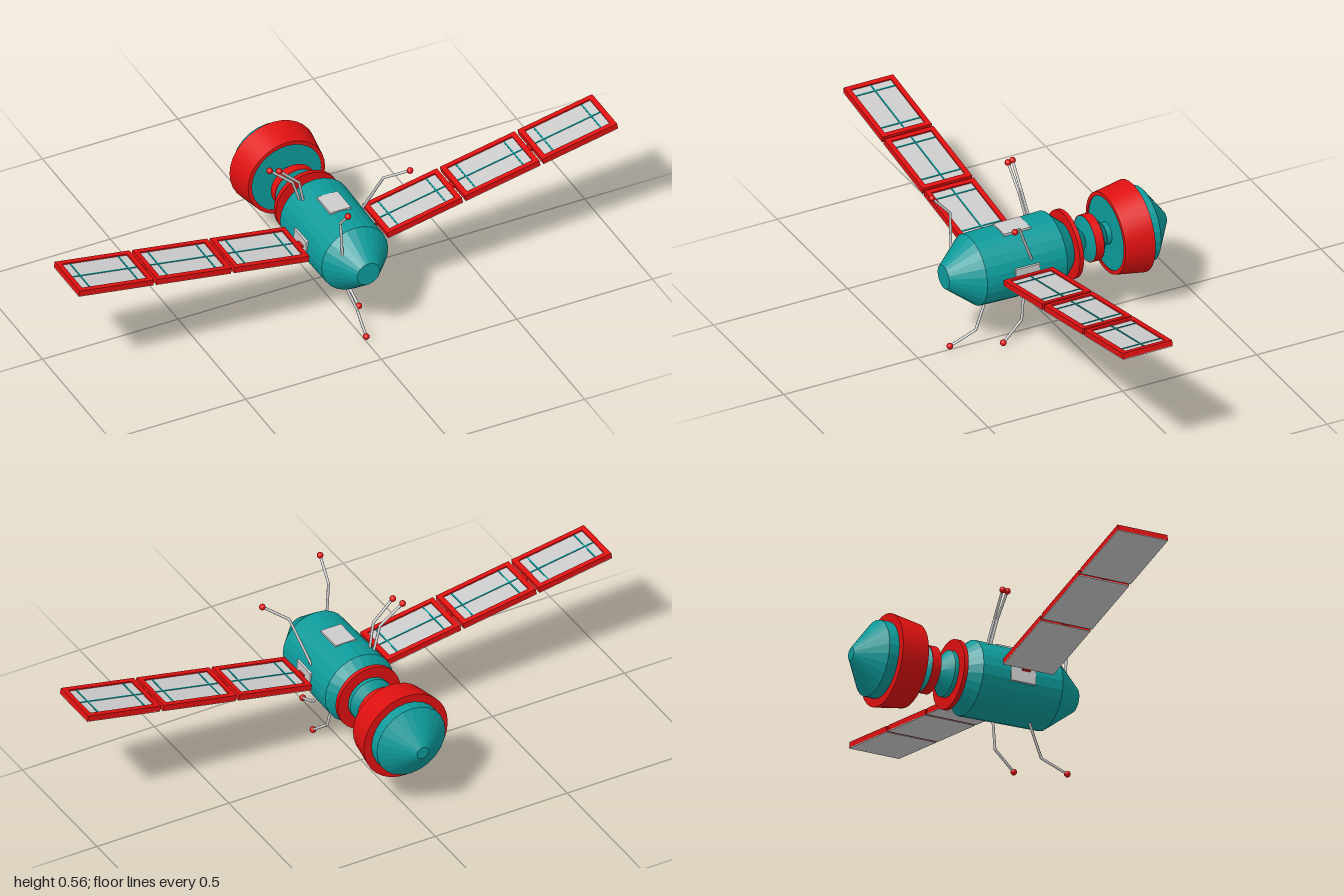
import * as THREE from 'three';
import { toCreasedNormals } from 'three/addons/utils/BufferGeometryUtils.js';

const material = (color, flatShading = false) =>
  new THREE.MeshStandardMaterial({ color, flatShading, side: THREE.DoubleSide });
const teal = material(0x0d9a9a), tealFlat = material(0x0d9a9a, true);
const red = material(0xe01010), grey = material(0xcccccc);
const AXIS_Y = 0.287;

function add(parent, name, geometry, mat, x = 0, y = 0, z = 0) {
  const mesh = new THREE.Mesh(geometry, mat);
  mesh.name = name;
  mesh.position.set(x, y, z);
  parent.add(mesh);
  return mesh;
}

// Turned part along the z axis; profile is [radius, z] from back to front
function turned(parent, name, profile, mat, segments = 32) {
  const geometry = new THREE.LatheGeometry(profile.map(([r, z]) => new THREE.Vector2(r, z)), segments);
  geometry.rotateX(Math.PI / 2);
  return add(parent, name, mat.flatShading ? geometry : toCreasedNormals(geometry, 0.35), mat, 0, AXIS_Y, 0);
}

// One framed solar panel, centred on its own origin
function solarPanel(length, width) {
  const panel = new THREE.Group();
  panel.name = 'solarPanel';
  const rect = (path, w, h) => path.moveTo(-w / 2, -h / 2).lineTo(w / 2, -h / 2)
    .lineTo(w / 2, h / 2).lineTo(-w / 2, h / 2).closePath();
  const shape = rect(new THREE.Shape(), length, width);
  shape.holes.push(rect(new THREE.Path(), length - 0.036, width - 0.036));
  const frame = new THREE.ExtrudeGeometry(shape, { depth: 0.02, bevelEnabled: false });
  frame.rotateX(-Math.PI / 2);
  add(panel, 'panelFrame', frame, red, 0, -0.01, 0);
  add(panel, 'panelBack', new THREE.BoxGeometry(length, 0.003, width), grey, 0, -0.0105, 0);
  add(panel, 'panelCells', new THREE.BoxGeometry(length - 0.03, 0.008, width - 0.03), grey, 0, 0.001, 0);
  // Thin grid lines over the cells
  add(panel, 'gridLine', new THREE.BoxGeometry(length - 0.036, 0.002, 0.005), teal, 0, 0.006, 0);
  for (const x of [-0.09, 0.09])
    add(panel, 'gridLine', new THREE.BoxGeometry(0.005, 0.002, width - 0.036), teal, x, 0.006, 0);
  return panel;
}

// Wing of three panels, rising outward from the hull
function wing(name, side, angle) {
  const root = new THREE.Group();
  root.name = name;
  root.position.set(side * 0.145, 0.3, 0.165);
  root.rotation.y = side > 0 ? 0 : Math.PI;
  const arm = new THREE.Group();
  arm.name = 'wingArm';
  arm.rotation.z = angle;
  root.add(arm);
  const pitch = 0.859 / Math.cos(angle) / 3, length = pitch - 0.011;
  for (let i = 0; i < 3; i++) {
    const panel = solarPanel(length, 0.184);
    panel.position.x = length / 2 + i * pitch;
    arm.add(panel);
    add(arm, 'hinge', new THREE.BoxGeometry(0.03, 0.008, 0.03), red, i * pitch - 0.008, -0.003, 0);
  }
  return root;
}

// Bent rod from base over a kink to a ball tip
function antenna(points) {
  const group = new THREE.Group();
  group.name = 'antenna';
  const [base, kink, tip] = points.map(p => new THREE.Vector3(...p));
  for (const [a, b] of [[base, kink], [kink, tip]]) {
    const dir = b.clone().sub(a);
    const rod = add(group, 'rod', new THREE.CylinderGeometry(0.0048, 0.0048, dir.length(), 8), grey);
    rod.position.copy(a).addScaledVector(dir, 0.5);
    rod.quaternion.setFromUnitVectors(new THREE.Vector3(0, 1, 0), dir.normalize());
  }
  add(group, 'kinkJoint', new THREE.SphereGeometry(0.0048, 8, 6), grey, ...points[1]);
  add(group, 'ballTip', new THREE.SphereGeometry(0.011, 16, 12), red, ...points[2]);
  return group;
}

export function createModel() {
  const model = new THREE.Group();
  model.name = 'spacecraft';

  // Main hull with a blunt nose
  turned(model, 'hull', [[0, -0.045], [0.077, -0.045], [0.129, 0.01], [0.123, 0.305], [0.042, 0.405], [0, 0.405]], tealFlat, 24);
  // Stepped neck and collars
  turned(model, 'hullFlange', [[0, -0.056], [0.119, -0.056], [0.119, -0.041], [0, -0.041]], red);
  turned(model, 'neck', [[0.038, -0.21], [0.038, -0.186], [0.034, -0.186], [0.079, -0.152], [0.079, -0.123],
    [0.028, -0.111], [0.079, -0.07], [0.079, -0.05]], teal);
  turned(model, 'neckBand', [[0.078, -0.153], [0.081, -0.153], [0.081, -0.122], [0.078, -0.122]], red);
  // Rear module with a flared collar
  turned(model, 'rearModule', [[0, -0.416], [0.022, -0.416], [0.13, -0.338], [0.13, -0.203], [0, -0.203]], tealFlat, 24);
  turned(model, 'rearCollar', [[0.128, -0.302], [0.159, -0.302], [0.142, -0.199], [0.128, -0.199]], red);

  // Hull windows on top and both sides
  add(model, 'topWindow', new THREE.BoxGeometry(0.076, 0.02, 0.1), grey, 0, AXIS_Y + 0.118, 0.15);
  for (const side of [-1, 1])
    add(model, 'sideWindow', new THREE.BoxGeometry(0.02, 0.076, 0.09), grey, side * 0.118, AXIS_Y, 0.157);

  model.add(wing('leftWing', 1, 0.199), wing('rightWing', -1, 0.158));

  // Antennas: base, kink, tip
  const antennas = [
    [[-0.065, 0.34, 0.343], [-0.072, 0.478, 0.343], [-0.077, 0.55, 0.408]],
    [[0.11, 0.34, 0.135], [0.155, 0.498, 0.204], [0.227, 0.54, 0.258]],
    [[-0.068, 0.38, 0.062], [-0.092, 0.477, 0.078], [-0.166, 0.548, 0.078]],
    [[-0.075, 0.38, 0.048], [-0.107, 0.47, 0.06], [-0.187, 0.538, 0.05]],
    [[-0.013, 0.165, 0.235], [0.015, 0.06, 0.293], [0.003, 0.016, 0.383]],
    [[0.036, 0.17, 0.125], [0.048, 0.074, 0.139], [0.06, 0.012, 0.214]],
  ];
  for (const points of antennas) model.add(antenna(points));
  return model;
}
